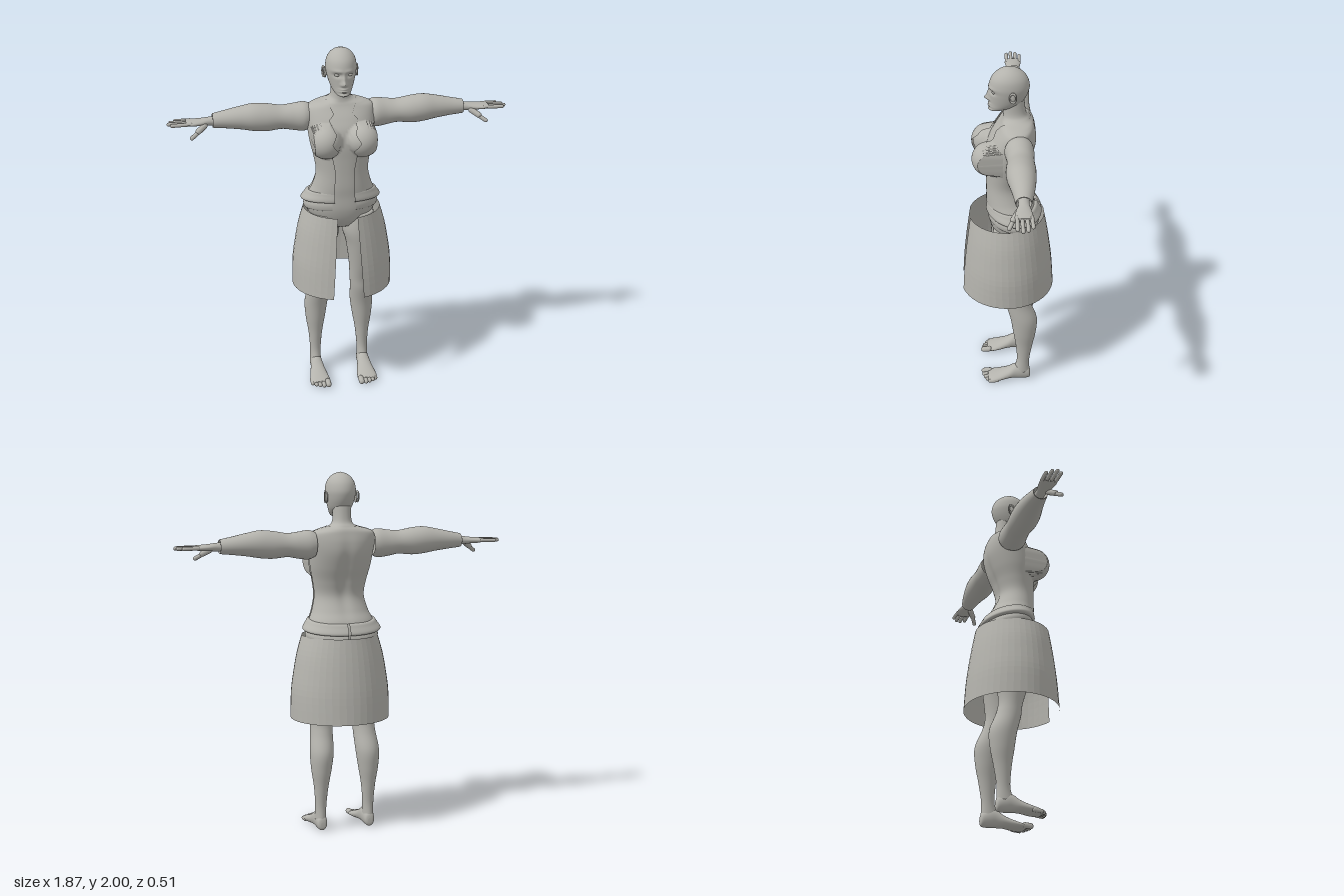
import * as THREE from 'three';

const stone = new THREE.MeshStandardMaterial({ color: 0xb4b3ad, side: THREE.DoubleSide });
stone.name = 'stone grey';

// Smoothly resample rows of [height, centre, half width, back, front], n steps each
function resample(rows, n) {
  const out = [];
  for (let i = 0; i < rows.length - 1; i++) {
    const [a, b, c, d] = [rows[Math.max(i - 1, 0)], rows[i], rows[i + 1], rows[Math.min(i + 2, rows.length - 1)]];
    for (let k = 0; k < n; k++) {
      const t = k / n;
      out.push(b.map((v, j) => v + 0.5 * t * (c[j] - a[j] + t * (2 * a[j] - 5 * v + 4 * c[j] - d[j]
        + t * (3 * (v - c[j]) + d[j] - a[j])))));
    }
  }
  out.push(rows[rows.length - 1]);
  return out;
}

// Skin oval rings into a surface. span(row) opens the ring; map turns the axis; deform reshapes
function loft(rows, { seg = 32, span, offset = 0, power = 1, deform, map, flip, caps = true, flat } = {}) {
  const pos = [], index = [], cols = span ? seg + 1 : seg;
  const put = (x, t, z) => {
    const p = new THREE.Vector3(x, t, z);
    if (deform) deform(p, offset);
    if (map) map(p);
    pos.push(p.x, p.y, p.z);
  };
  const tri = (a, b, c) => flip ? index.push(a, c, b) : index.push(a, b, c);
  for (const row of rows) {
    const [t, c, r, lo, hi] = row;
    const [a0, a1] = span ? span(row) : [0, Math.PI * 2];
    for (let j = 0; j < cols; j++) {
      const a = a0 + (a1 - a0) * j / seg, s = Math.sin(a);
      put(c + (r + offset) * Math.sign(s) * Math.abs(s) ** power, t,
        (lo + hi) / 2 + ((hi - lo) / 2 + offset) * Math.cos(a));
    }
  }
  for (let i = 0; i < rows.length - 1; i++) for (let j = 0; j < seg; j++) {
    const k = (j + 1) % cols, a = i * cols + j, b = i * cols + k;
    tri(a, b, a + cols);
    tri(b, b + cols, a + cols);
  }
  if (caps && !span) [0, rows.length - 1].forEach((i, end) => {
    const [t, c, , lo, hi] = rows[i], m = pos.length / 3;
    put(c, t, (lo + hi) / 2);
    for (let j = 0; j < seg; j++) {
      const a = i * cols + j, b = i * cols + (j + 1) % cols;
      end ? tri(a, b, m) : tri(b, a, m);
    }
  });
  let g = new THREE.BufferGeometry();
  g.setAttribute('position', new THREE.Float32BufferAttribute(pos, 3));
  g.setIndex(index);
  if (flat) g = g.toNonIndexed();
  g.computeVertexNormals();
  return g;
}

const toX = p => p.set(p.y, p.z, p.x);
const toZ = p => p.set(p.x, p.z, p.y);
const bell = (d, s) => Math.exp(-d * d / (2 * s * s));
const V = (...a) => new THREE.Vector3(...a);

// Read a value from a list of falling [height, value] pairs
function table(list, y) {
  for (let i = 0; i < list.length - 1; i++) {
    const [y0, v0] = list[i], [y1, v1] = list[i + 1];
    if (y <= y0 && y >= y1) return v0 + (v1 - v0) * (y0 - y) / (y0 - y1);
  }
  return y > list[0][0] ? list[0][1] : list[list.length - 1][1];
}

// Bust and spine furrow, shared by the body and the vest
function shapeTorso(p, offset) {
  if (p.z > 0.03) {
    const r = 0.084 + offset, q = r * r - (Math.abs(p.x) - 0.1) ** 2 - (p.y - 1.51) ** 2;
    if (q > 0) p.z = Math.max(p.z, 0.1 + Math.sqrt(q));
  } else if (p.z < -0.04) {
    p.z += 0.014 * bell(p.x, 0.025) * bell(p.y - 1.42, 0.13);
  }
}

// Brow, eye sockets, nose, lips and chin
function shapeFace(p) {
  if (p.z < 0.03) return;
  const x = Math.abs(p.x), y = p.y;
  p.z += 0.022 * bell(x, 0.009) * bell(y - 1.827, 0.01) + 0.012 * bell(x, 0.008) * bell(y - 1.85, 0.018)
    + 0.006 * bell(x - 0.013, 0.006) * bell(y - 1.821, 0.006)
    - 0.013 * bell(x - 0.033, 0.015) * bell(y - 1.872, 0.009)
    + 0.005 * bell(x - 0.032, 0.02) * bell(y - 1.894, 0.007)
    + 0.008 * bell(x, 0.015) * (bell(y - 1.797, 0.004) + bell(y - 1.784, 0.004))
    - 0.005 * bell(x, 0.02) * bell(y - 1.774, 0.005) + 0.004 * bell(x, 0.014) * bell(y - 1.763, 0.008);
}

export function createModel() {
  const model = new THREE.Group();
  const add = (name, geometry) => {
    const m = new THREE.Mesh(geometry, stone);
    m.name = name;
    model.add(m);
    return m;
  };
  const pair = (name, make) => ['left', 'right'].forEach((side, i) => {
    const m = add(side + name, make());
    if (i) m.scale.x = -1;
  });
  const ball = (r, x, y, z, sx, sy, sz) => new THREE.SphereGeometry(r, 20, 14).scale(sx, sy, sz).translate(x, y, z);
  const digit = (a, b, r) => {
    const d = b.clone().sub(a), m = a.clone().add(b).multiplyScalar(0.5);
    const g = new THREE.CapsuleGeometry(r, d.length() - 2 * r, 5, 10);
    g.applyQuaternion(new THREE.Quaternion().setFromUnitVectors(V(0, 1, 0), d.normalize()));
    return g.translate(m.x, m.y, m.z);
  };

  // Body and neck
  const torso = resample([
    [0.98, 0, 0.09, -0.09, 0.05], [1.03, 0, 0.16, -0.14, 0.085], [1.1, 0, 0.195, -0.165, 0.105],
    [1.18, 0, 0.18, -0.145, 0.108], [1.24, 0, 0.155, -0.11, 0.112], [1.32, 0, 0.137, -0.08, 0.112],
    [1.4, 0, 0.147, -0.095, 0.113], [1.48, 0, 0.165, -0.125, 0.115], [1.56, 0, 0.176, -0.148, 0.105],
    [1.62, 0, 0.182, -0.15, 0.075], [1.67, 0, 0.176, -0.14, 0.042], [1.692, 0, 0.135, -0.132, 0.03],
    [1.71, 0, 0.075, -0.118, 0.023], [1.74, 0, 0.052, -0.1, 0.02], [1.82, 0, 0.05, -0.09, 0.02]], 8);
  add('body', loft(torso, { seg: 112, power: 0.9, deform: shapeTorso }));

  // Head
  add('head', loft(resample([
    [1.752, 0, 0.015, 0.055, 0.085], [1.76, 0, 0.034, 0.02, 0.096], [1.775, 0, 0.048, -0.03, 0.097],
    [1.8, 0, 0.061, -0.075, 0.093], [1.83, 0, 0.071, -0.098, 0.093], [1.865, 0, 0.079, -0.113, 0.095],
    [1.9, 0, 0.083, -0.118, 0.096], [1.94, 0, 0.077, -0.107, 0.084], [1.97, 0, 0.06, -0.083, 0.06],
    [1.99, 0, 0.035, -0.05, 0.03], [2, 0, 0.004, -0.012, -0.004]], 9), { seg: 120, deform: shapeFace }));
  pair('Eye', () => ball(0.013, 0.033, 1.872, 0.071, 1.15, 0.65, 0.8));
  pair('Ear', () => ball(0.028, 0.084, 1.863, -0.025, 0.32, 1.1, 0.65).rotateY(0));
  pair('EarRim', () => new THREE.TorusGeometry(0.019, 0.005, 8, 24).scale(0.85, 1.4, 1)
    .rotateY(Math.PI / 2 - 0.25).translate(0.092, 1.866, -0.028));

  // Vest: one back panel and two front panels with a ragged opening
  const edge = [[1.7, 0.07], [1.65, 0.048], [1.62, 0.074], [1.565, 0.048], [1.52, 0.074],
    [1.465, 0.037], [1.43, 0.064], [1.34, 0.048], [1.18, 0.053]];
  const vestRows = torso.filter(r => r[0] > 1.175 && r[0] < 1.712);
  const opening = ([y, , r]) => Math.asin(Math.min(0.98, table(edge, y) / r) ** (1 / 0.9));
  const vest = { power: 0.9, deform: shapeTorso };
  add('vestBack', loft(vestRows, { ...vest, seg: 64, offset: 0.005, span: () => [1.45, Math.PI * 2 - 1.45] }));
  pair('VestFront', () => loft(vestRows, { ...vest, seg: 56, offset: 0.009, span: r => [opening(r), 1.5] }));

  // Belt in two tiers, dipping at the back, split front and back
  const tilt = p => { p.y += (p.z - 0.1) * 0.13; };
  const beltTier = (rows, gap) => loft(resample(rows, 5),
    { seg: 48, deform: tilt, power: 0.95, span: r => [Math.asin(gap / r[2]), Math.PI - 0.02] });
  pair('BeltUpper', () => beltTier([[1.15, 0, 0.195, -0.165, 0.1], [1.152, 0, 0.217, -0.185, 0.118],
    [1.165, 0, 0.222, -0.19, 0.122], [1.19, 0, 0.205, -0.175, 0.12], [1.208, 0, 0.193, -0.163, 0.117],
    [1.21, 0, 0.178, -0.145, 0.105]], 0.052));
  pair('BeltLower', () => beltTier([[1.1, 0, 0.19, -0.165, 0.1], [1.105, 0, 0.203, -0.176, 0.109],
    [1.13, 0, 0.208, -0.18, 0.113], [1.155, 0, 0.2, -0.17, 0.11]], 0.062));

  // Faceted wrap skirt, open at the front
  add('skirt', loft(resample([[0.63, 0, 0.28, -0.262, 0.265], [0.78, 0, 0.277, -0.252, 0.253],
    [0.9, 0, 0.261, -0.238, 0.24], [1, 0, 0.242, -0.223, 0.227], [1.1, 0, 0.213, -0.205, 0.213]], 4), {
    seg: 40, flat: true,
    span: ([y, , r]) => { const a = Math.asin((0.085 - (y - 0.63) * 0.065) / r); return [a, Math.PI * 2 - a]; } }));

  // Legs, feet and toes
  pair('Leg', () => loft(resample([
    [0.06, 0.141, 0.032, -0.128, -0.03], [0.14, 0.14, 0.031, -0.125, -0.052], [0.25, 0.139, 0.04, -0.142, -0.045],
    [0.35, 0.138, 0.056, -0.161, -0.03], [0.45, 0.134, 0.066, -0.166, -0.014], [0.55, 0.126, 0.063, -0.128, 0.012],
    [0.62, 0.122, 0.064, -0.112, 0.022], [0.72, 0.122, 0.071, -0.12, 0.05], [0.85, 0.115, 0.082, -0.138, 0.08],
    [0.95, 0.104, 0.096, -0.15, 0.09], [1.06, 0.1, 0.085, -0.15, 0.08]], 6)));
  pair('Foot', () => loft(resample([
    [-0.132, 0.14, 0.012, 0.02, 0.05], [-0.122, 0.14, 0.027, 0.003, 0.08], [-0.08, 0.14, 0.034, 0, 0.105],
    [-0.04, 0.14, 0.036, 0.003, 0.1], [0, 0.14, 0.043, 0.005, 0.073], [0.05, 0.14, 0.053, 0, 0.052],
    [0.09, 0.139, 0.057, 0, 0.038], [0.118, 0.135, 0.046, 0.004, 0.028]], 5), { map: toZ, flip: true }));
  [[0.098, 0.157, 0.0165], [0.124, 0.153, 0.0125], [0.146, 0.145, 0.012], [0.167, 0.134, 0.0115], [0.186, 0.118, 0.0115]]
    .forEach(([x, z, r], i) => pair('Toe' + (i + 1), () => digit(V(x, r + 0.006, z - 0.065), V(x, r, z), r)));

  // Sleeves with a turned-in cuff
  pair('Sleeve', () => loft(resample([
    [0.165, -0.06, 0.07, 1.545, 1.68], [0.2, -0.057, 0.078, 1.53, 1.69], [0.26, -0.06, 0.073, 1.537, 1.682],
    [0.32, -0.06, 0.072, 1.547, 1.677], [0.4, -0.058, 0.078, 1.54, 1.69], [0.47, -0.058, 0.076, 1.545, 1.695],
    [0.54, -0.061, 0.066, 1.557, 1.683], [0.62, -0.062, 0.053, 1.567, 1.666], [0.68, -0.06, 0.043, 1.573, 1.654],
    [0.692, -0.06, 0.04, 1.576, 1.65], [0.68, -0.06, 0.035, 1.58, 1.645], [0.64, -0.06, 0.035, 1.58, 1.645]], 6),
    { map: toX, caps: false, seg: 36 }));

  // Hands
  pair('Palm', () => loft(resample([
    [0.62, -0.06, 0.03, 1.585, 1.637], [0.7, -0.06, 0.028, 1.588, 1.635], [0.75, -0.058, 0.038, 1.592, 1.629],
    [0.8, -0.057, 0.046, 1.594, 1.625], [0.835, -0.058, 0.045, 1.6, 1.622]], 5), { map: toX }));
  [[-0.094, 0.9], [-0.071, 0.927], [-0.047, 0.937], [-0.023, 0.92]].forEach(([z, tip], i) =>
    pair('Finger' + (i + 1), () => digit(V(0.8, 1.611, z), V(tip, 1.609, z * 1.08 + 0.003), 0.0105)));
  pair('ThumbBase', () => digit(V(0.725, 1.603, -0.04), V(0.785, 1.566, 0.003), 0.016));
  pair('ThumbTip', () => digit(V(0.76, 1.578, -0.012), V(0.818, 1.541, 0.02), 0.0115));

  return model;
}
